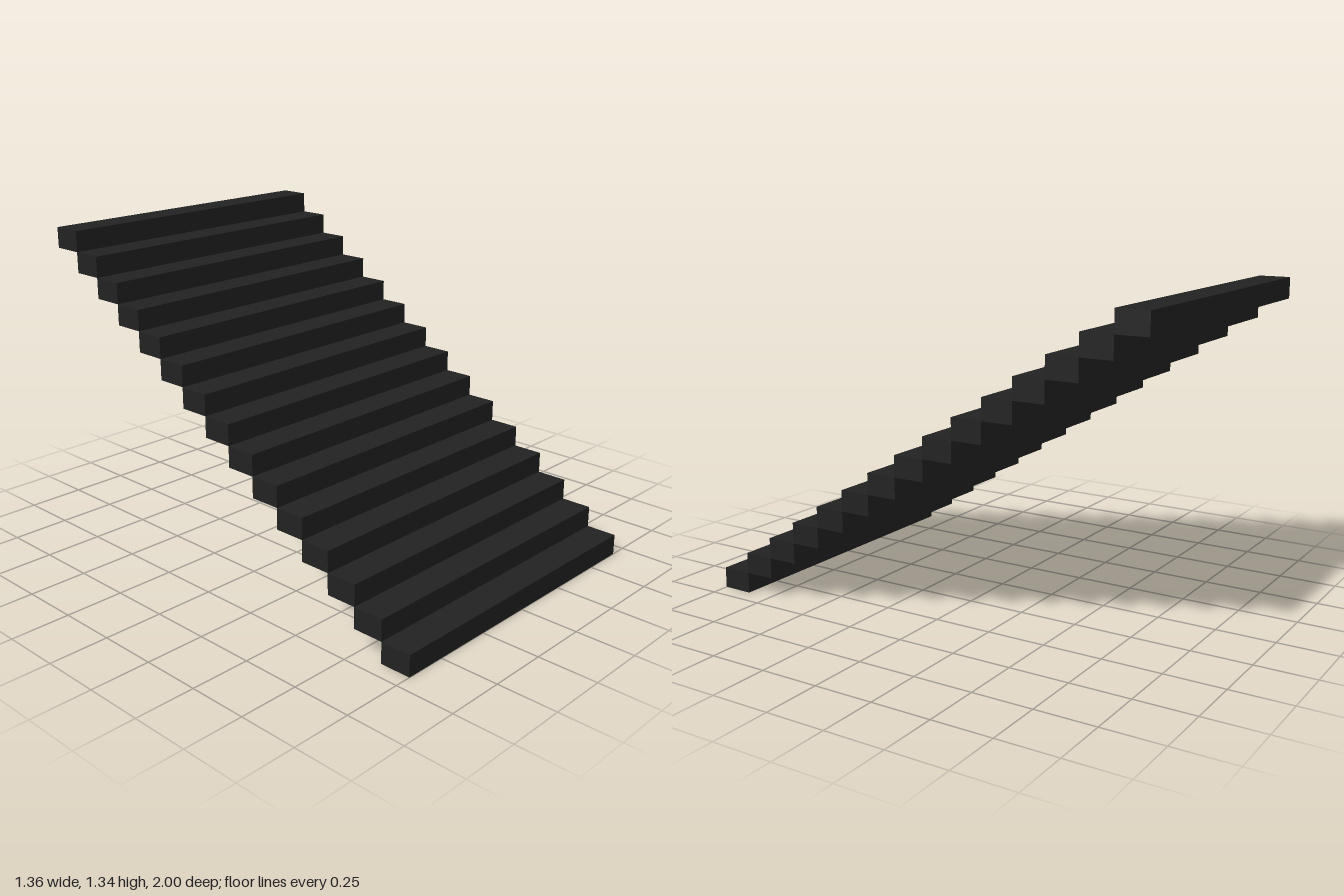
import * as THREE from 'three';

export function createModel() {
  const model = new THREE.Group();
  model.name = 'staircase';

  const charcoal = new THREE.MeshStandardMaterial({ color: 0x222222 });
  charcoal.name = 'charcoal';

  // Flight of identical solid blocks, rising from the front to the back
  const count = 15, width = 1.354, depth = 2 / count, rise = 1.342 / count;
  const block = new THREE.BoxGeometry(width, rise, depth);

  for (let i = 0; i < count; i++) {
    const step = new THREE.Mesh(block, charcoal);
    step.name = `step${i + 1}`;
    // The flight drifts very slightly sideways as it climbs
    const drift = 0.005 * (i / (count - 1) - 0.5);
    step.position.set(drift, (i + 0.5) * rise, 1 - (i + 0.5) * depth);
    model.add(step);
  }
  return model;
}
